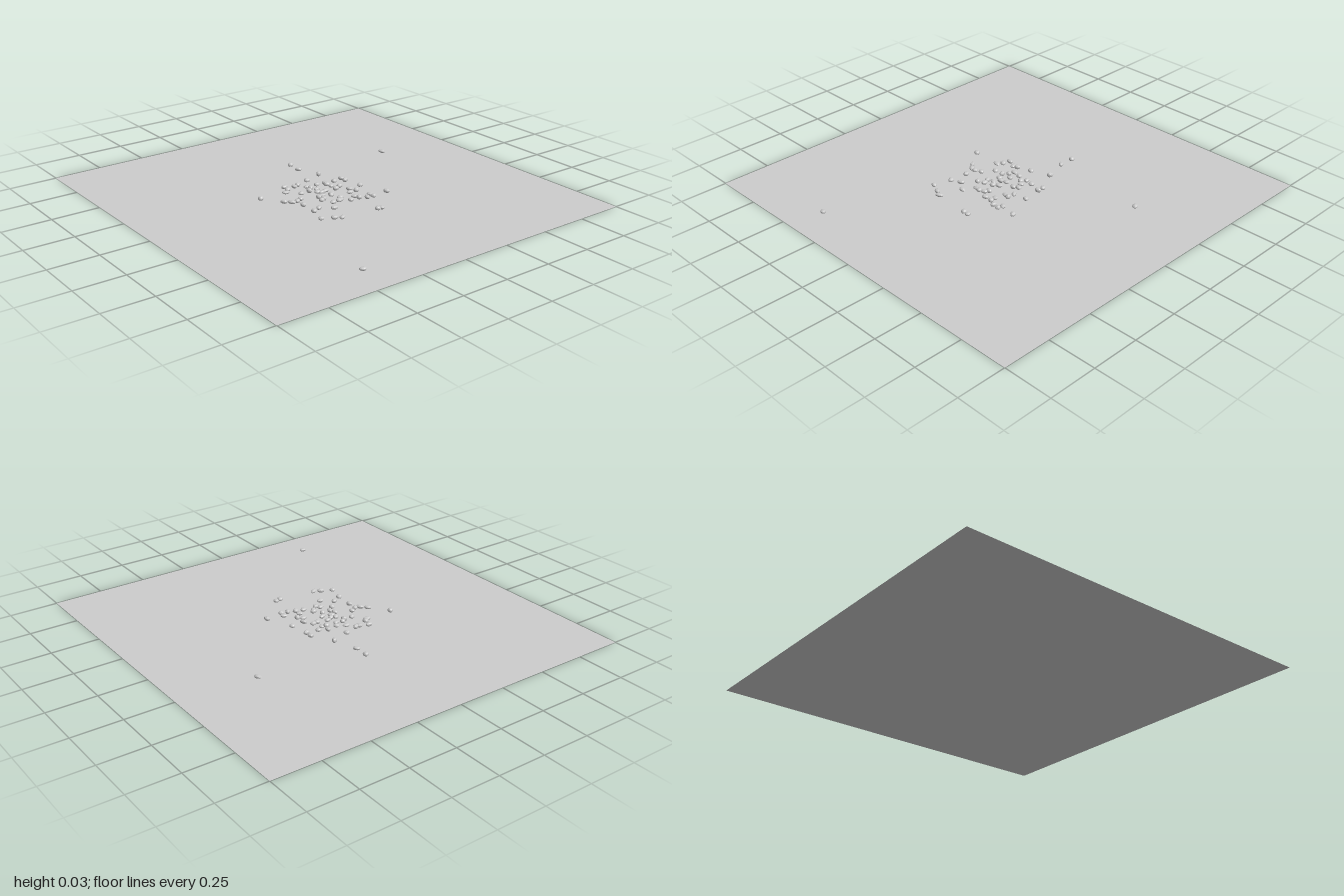
import * as THREE from 'three';

// seeded random numbers
function makeRandom(seed) {
  return () => {
    seed = (seed * 16807) % 2147483647;
    return seed / 2147483647;
  };
}

// stone positions on the ground, [x, z]
const SCATTERED = [
  [0.065, -0.405], [0.06, -0.33], [0.59, -0.285], [-0.33, -0.1], [-0.43, 0.82], [0.23, 0.19],
  [-0.24, 0.275], [-0.185, 0.305], [-0.15, 0.32], [0.05, 0.34], [0.075, 0.34], [0.1, -0.205],
  [0, -0.17], [-0.145, -0.16], [-0.18, -0.1], [-0.155, -0.12], [-0.1, -0.14], [-0.075, -0.145],
  [-0.13, -0.04], [-0.26, -0.005], [-0.235, 0.025], [-0.205, 0.03], [-0.175, 0.015], [-0.21, 0.085],
  [-0.215, 0.185], [-0.17, 0.16], [-0.11, 0.205], [0.175, 0.045], [0.16, -0.09], [0.16, -0.055],
  [0.135, 0.2], [0.1, 0.195], [0.14, 0.17], [0.065, 0.175], [0.02, 0.17],
];
const CLUSTER = [
  [0, -0.085], [0.05, -0.085], [-0.05, -0.1], [-0.055, -0.065], [-0.03, -0.045], [-0.08, -0.04],
  [-0.06, 0], [-0.04, 0.01], [-0.01, 0], [0.04, -0.055], [0.055, -0.04], [0.05, 0.01],
  [0.08, 0], [0.1, 0.055], [0.075, 0.09], [0.105, 0.1], [0.06, 0.145], [-0.09, 0.05],
  [-0.11, 0.1], [-0.08, 0.08], [-0.07, 0.145], [-0.045, 0.155], [-0.02, 0.14], [-0.01, 0.12],
  [-0.03, 0.075], [-0.01, 0.05], [-0.06, 0.04], [0.1, -0.07],
];

// lumpy pebble: a faceted ball whose surface is pushed in and out by soft waves
function pebbleGeometry(random) {
  const geometry = new THREE.IcosahedronGeometry(1, 1);
  const position = geometry.attributes.position;
  const phase = [random() * 6, random() * 6, random() * 6];
  const v = new THREE.Vector3();
  for (let i = 0; i < position.count; i++) {
    v.fromBufferAttribute(position, i);
    const bump = Math.sin(2.6 * v.x + phase[0]) + Math.sin(2.9 * v.y + phase[1]) + Math.sin(2.4 * v.z + phase[2]);
    v.multiplyScalar(1 + 0.08 * bump);
    position.setXYZ(i, v.x, v.y, v.z);
  }
  geometry.computeVertexNormals();
  return geometry;
}

export function createModel() {
  const random = makeRandom(4711);
  const model = new THREE.Group();
  model.name = 'stonesOnGround';

  const groundGrey = new THREE.MeshStandardMaterial({ color: 0xcccccc, side: THREE.DoubleSide });
  groundGrey.name = 'groundGrey';
  const stoneGrey = new THREE.MeshStandardMaterial({ color: 0xc8c8c8, flatShading: true });
  stoneGrey.name = 'stoneGrey';

  // flat square ground
  const ground = new THREE.Mesh(new THREE.PlaneGeometry(2, 2).rotateX(-Math.PI / 2), groundGrey);
  ground.name = 'ground';
  model.add(ground);

  // a few pebble shapes shared by all stones
  const shapes = Array.from({ length: 6 }, () => pebbleGeometry(random));

  function addStones(name, places, lift) {
    const group = new THREE.Group();
    group.name = name;
    places.forEach(([x, z], i) => {
      const stone = new THREE.Mesh(shapes[i % shapes.length], stoneGrey);
      stone.name = 'stone';
      stone.scale.set(0.016 + 0.003 * random(), 0.009 + 0.002 * random(), 0.013 + 0.002 * random());
      stone.rotation.y = random() * Math.PI * 2;
      // rest the lowest point on the ground, with some stones piled a little higher
      shapes[i % shapes.length].computeBoundingBox();
      const low = shapes[i % shapes.length].boundingBox.min.y * stone.scale.y;
      stone.position.set(x, 0.0005 - low + (i % 3 === 0 ? lift : 0), z);
      group.add(stone);
    });
    model.add(group);
  }

  addStones('scatteredStones', SCATTERED, 0.002);
  addStones('stoneCluster', CLUSTER, 0.006);
  return model;
}
